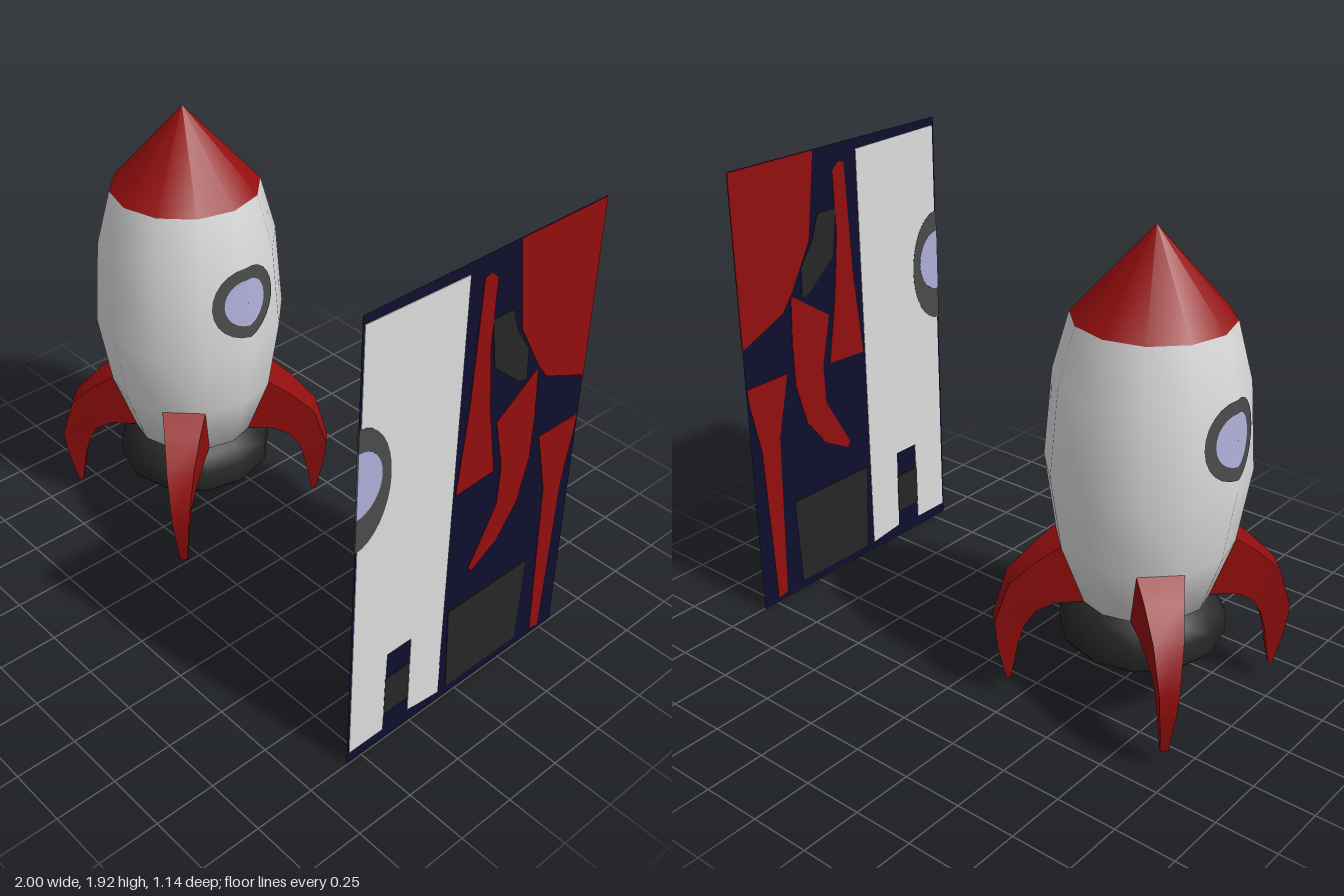
import * as THREE from 'three';
import { toCreasedNormals } from 'three/addons/utils/BufferGeometryUtils.js';

const material = (name, color, side = THREE.FrontSide) => {
  const m = new THREE.MeshStandardMaterial({ color, side });
  m.name = name;
  return m;
};

const v2 = (points) => points.map(([x, y]) => new THREE.Vector2(x, y));

// Hull profile as [radius, height]
const HULL = [[0.255, 0.44], [0.34, 0.69], [0.387, 0.99], [0.36, 1.34], [0.3, 1.565]];

function hullRadius(y) {
  for (let i = 1; i < HULL.length; i++) {
    const [r0, y0] = HULL[i - 1], [r1, y1] = HULL[i];
    if (y <= y1) return r0 + (r1 - r0) * (y - y0) / (y1 - y0);
  }
  return 0.3;
}

// Disc or ring that follows the twelve-sided hull on its +x side
function windowGeometry(inner, outer, lift) {
  const g = new THREE.RingGeometry(inner, outer, 24, 3);
  g.rotateY(Math.PI / 2);
  const p = g.attributes.position;
  for (let i = 0; i < p.count; i++) {
    const y = p.getY(i) + 1.19, z = p.getZ(i);
    p.setXYZ(i, hullRadius(y) - 0.268 * Math.abs(z) + lift, y, z);
  }
  g.computeVertexNormals();
  return g;
}

// Curved fin lofted through four-cornered sections, reaching out along +x
function finGeometry() {
  // outer radius, outer y, inner radius, inner y, half width
  const sections = [
    [0.33, 0.695, 0.24, 0.455, 0.088],
    [0.41, 0.635, 0.35, 0.445, 0.073],
    [0.52, 0.53, 0.42, 0.4, 0.055],
    [0.576, 0.35, 0.46, 0.33, 0.037],
    [0.563, 0.23, 0.483, 0.25, 0.028],
    [0.53, 0.08, 0.512, 0.08, 0.015],
  ];
  const pos = [], idx = [];
  for (const [ro, yo, ri, yi, w] of sections) {
    pos.push(ro, yo, w, ro, yo, -w, ri, yi, -w, ri, yi, w);
  }
  for (let s = 0; s < sections.length - 1; s++) {
    for (let k = 0; k < 4; k++) {
      const a = s * 4 + k, b = s * 4 + (k + 1) % 4;
      idx.push(a, a + 4, b, b, a + 4, b + 4);
    }
  }
  const e = (sections.length - 1) * 4;
  idx.push(0, 1, 2, 0, 2, 3, e, e + 2, e + 1, e, e + 3, e + 2);
  const g = new THREE.BufferGeometry();
  g.setAttribute('position', new THREE.Float32BufferAttribute(pos, 3));
  g.setIndex(idx);
  return toCreasedNormals(g, 0.8);
}

// Half ellipse bulging from the panel's edge
function halfEllipse(rx, ry, cy) {
  const points = [];
  for (let i = 0; i <= 16; i++) {
    const a = -Math.PI / 2 + Math.PI * i / 16;
    points.push([-0.57 + rx * Math.cos(a), cy + ry * Math.sin(a)]);
  }
  return points;
}

export function createModel() {
  const white = material('hull white', 0xdcdcdc);
  const red = material('deep red', 0x930e0e, THREE.DoubleSide);
  const dark = material('engine black', 0x262626);
  const grey = material('window frame grey', 0x4a4a4a);
  const glass = material('window lilac', 0xaeaed9);
  const navy = material('panel navy', 0x0e0e2e, THREE.DoubleSide);

  const model = new THREE.Group();
  const add = (parent, name, geometry, mat) => {
    const mesh = new THREE.Mesh(geometry, mat);
    mesh.name = name;
    parent.add(mesh);
    return mesh;
  };

  // Rocket
  const rocket = new THREE.Group();
  rocket.name = 'rocket';
  rocket.position.x = -0.57;
  model.add(rocket);

  add(rocket, 'hull', new THREE.LatheGeometry(v2([[0, 0.44], ...HULL]), 12), white);
  add(rocket, 'noseCone', new THREE.LatheGeometry(v2([[0.3, 1.565], [0, 1.9]]), 12), red);

  // Engine nozzle with a hollow centre
  add(rocket, 'nozzle', new THREE.LatheGeometry(v2([
    [0, 0.4], [0.14, 0.39], [0.18, 0.29], [0.24, 0.26], [0.3, 0.262],
    [0.322, 0.29], [0.32, 0.37], [0.285, 0.435], [0.25, 0.46],
  ]), 12), dark);

  // Windows on both sides
  const frameGeo = windowGeometry(0.1, 0.152, 0.004);
  const glassGeo = windowGeometry(0.001, 0.1, 0.004);
  for (const [name, turn] of [['left', 0], ['right', Math.PI]]) {
    add(rocket, name + 'WindowFrame', frameGeo, grey).rotation.y = turn;
    add(rocket, name + 'WindowGlass', glassGeo, glass).rotation.y = turn;
  }

  // Four fins on the diagonals
  const fin = finGeometry();
  for (let i = 0; i < 4; i++) {
    add(rocket, 'fin' + (i + 1), fin, red).rotation.y = Math.PI / 4 + i * Math.PI / 2;
  }

  // Upright colour panel, patterned on both faces
  const panel = new THREE.Group();
  panel.name = 'colourPanel';
  panel.position.x = 0.995;
  panel.rotation.y = Math.PI / 2;
  model.add(panel);

  const board = new THREE.PlaneGeometry(1.14, 1.925);
  board.translate(0, 0.9625, 0);
  add(panel, 'panelBoard', board, navy);

  const patch = (name, points, mat, depth = 0.005) => {
    const g = new THREE.ExtrudeGeometry(new THREE.Shape(v2(points)), { depth, bevelEnabled: false });
    g.translate(0, 0, -depth / 2);
    add(panel, name, g, mat);
  };
  patch('hullPatch', [[-0.56, 1.89], [-0.1, 1.88], [-0.095, 0.04], [-0.26, 0.06], [-0.265, 0.43],
    [-0.385, 0.43], [-0.39, 0.05], [-0.56, 0.05]], white);
  patch('notchPatch', [[-0.39, 0.13], [-0.265, 0.13], [-0.265, 0.31], [-0.39, 0.31]], dark, 0.007);
  patch('framePatch', halfEllipse(0.155, 0.25, 1.26), grey, 0.007);
  patch('glassPatch', halfEllipse(0.112, 0.135, 1.285), glass, 0.009);
  patch('upperFinPatch', [[-0.03, 1.84], [0, 1.85], [0.035, 1.82], [0.03, 1.55], [0.06, 1.28],
    [0.11, 1.0], [-0.085, 0.99], [-0.05, 1.35]], red);
  patch('nozzlePatch', [[0.03, 1.66], [0.13, 1.66], [0.165, 1.56], [0.235, 1.46], [0.24, 1.33],
    [0.2, 1.34], [0.06, 1.46]], dark);
  patch('clawPatch', [[0.3, 1.355], [0.31, 1.14], [0.307, 0.96], [0.26, 0.78], [0.165, 0.65],
    [0.035, 0.575], [0.02, 0.6], [0.145, 0.83], [0.15, 1.0], [0.1, 1.215]], red);
  patch('nosePatch', [[0.135, 1.922], [0.185, 1.56], [0.3, 1.36], [0.35, 1.295], [0.57, 1.2],
    [0.57, 1.922]], red);
  patch('enginePatch', [[-0.07, 0.435], [0.36, 0.435], [0.345, 0.04], [-0.05, 0.04]], dark);
  patch('lowerFinPatch', [[0.35, 1.03], [0.565, 1.03], [0.56, 0.96], [0.515, 0.73], [0.49, 0.02],
    [0.44, 0.03], [0.415, 0.76]], red);

  return model;
}
